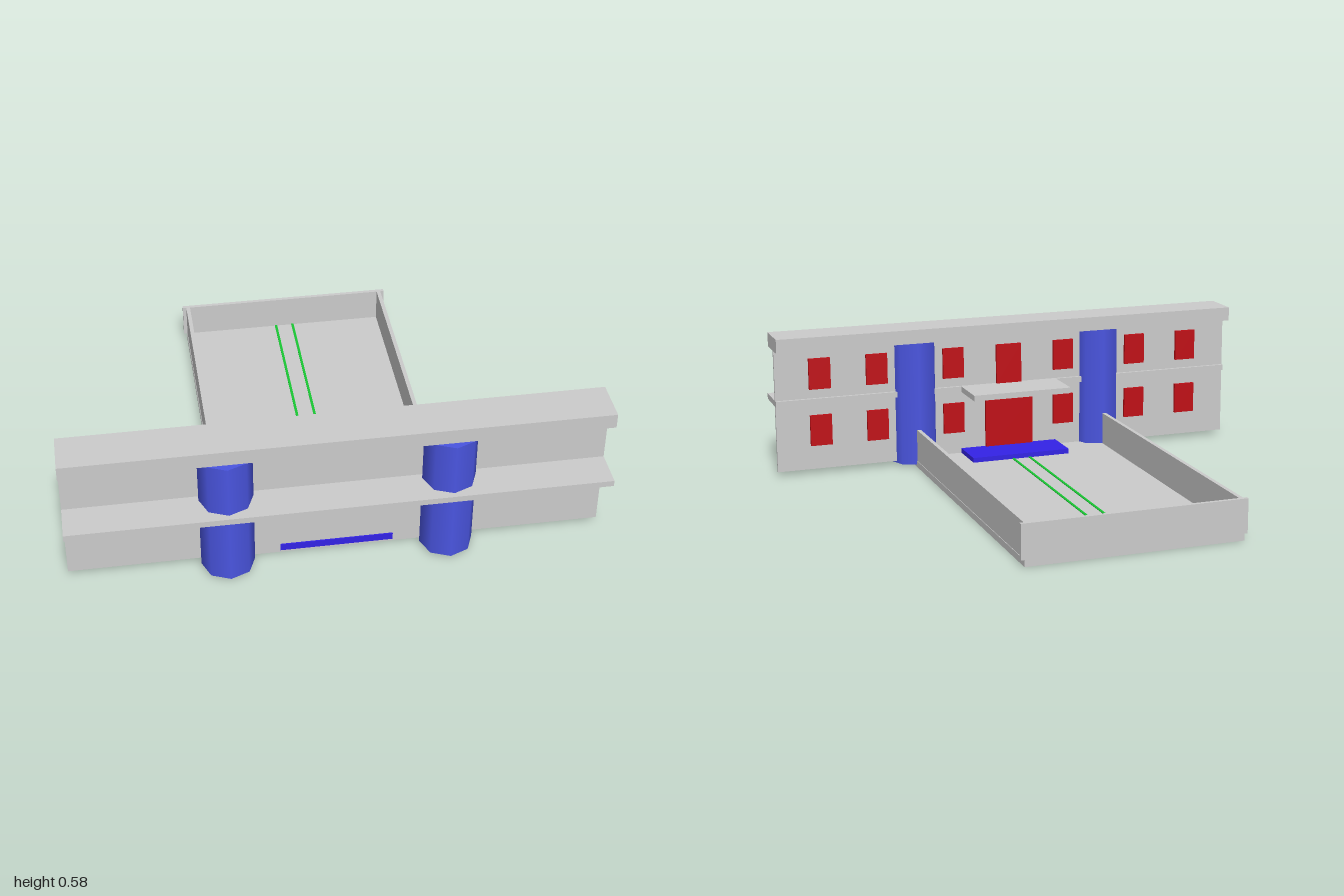
import * as THREE from 'three';

const mat = (color) => new THREE.MeshStandardMaterial({ color });

export function createModel() {
  const model = new THREE.Group();
  const grey = mat(0xcccccc);
  const red = mat(0xc00c14);
  const columnBlue = mat(0x4a55e0);
  const stepBlue = mat(0x3322e6);
  const green = mat(0x18c832);

  // Box given by its extents along each axis
  function box(name, material, [x0, x1], [y0, y1], [z0, z1]) {
    const mesh = new THREE.Mesh(new THREE.BoxGeometry(x1 - x0, y1 - y0, z1 - z0), material);
    mesh.position.set((x0 + x1) / 2, (y0 + y1) / 2, (z0 + z1) / 2);
    mesh.name = name;
    model.add(mesh);
    return mesh;
  }

  // Facade: thin wall, roof beam, front ledge and rear balcony slab
  box('facadeWall', grey, [-1, 1], [0.018, 0.527], [0.633, 0.645]);
  box('roofBeam', grey, [-1, 1], [0.527, 0.585], [0.57, 0.737]);
  box('ledge', grey, [-1, 1], [0.294, 0.318], [0.62, 0.788]);
  box('balcony', grey, [-0.212, 0.212], [0.294, 0.318], [0.443, 0.625]);

  // Windows on the rear of the facade, two rows
  for (const y of [0.119, 0.357]) {
    for (const x of [0.245, 0.575, 0.815]) {
      for (const side of [-1, 1]) {
        box('window', red, [side * x - 0.045, side * x + 0.045], [y, y + 0.128], [0.621, 0.635]);
      }
    }
  }

  // Doors: wide one at ground level, narrow one on the balcony
  box('entranceDoor', red, [-0.105, 0.105], [0.025, 0.247], [0.621, 0.635]);
  box('balconyDoor', red, [-0.055, 0.055], [0.318, 0.485], [0.621, 0.635]);

  // Eight-sided, smooth-shaded columns
  for (const side of [-1, 1]) {
    const column = new THREE.Mesh(new THREE.CylinderGeometry(0.1, 0.1, 0.517, 8), columnBlue);
    column.position.set(side * 0.41, 0.2685, 0.667);
    column.name = 'column';
    model.add(column);
  }

  // Courtyard: floor, side walls and the wider end wall
  box('courtyardFloor', grey, [-0.425, 0.425], [0, 0.026], [-0.788, 0.638]);
  for (const side of [-1, 1]) {
    const x = side * 0.415;
    box('sideWall', grey, [x - 0.008, x + 0.008], [0.026, 0.16], [-0.775, 0.633]);
    // Green guide lines along the floor
    const g = side * 0.036;
    box('guideLine', green, [g - 0.005, g + 0.005], [0.02, 0.029], [-0.78, 0.48]);
  }
  box('endWall', grey, [-0.438, 0.438], [0.026, 0.16], [-0.788, -0.773]);

  // Door step passing under the facade
  box('doorStep', stepBlue, [-0.212, 0.212], [0.018, 0.046], [0.465, 0.65]);

  return model;
}
